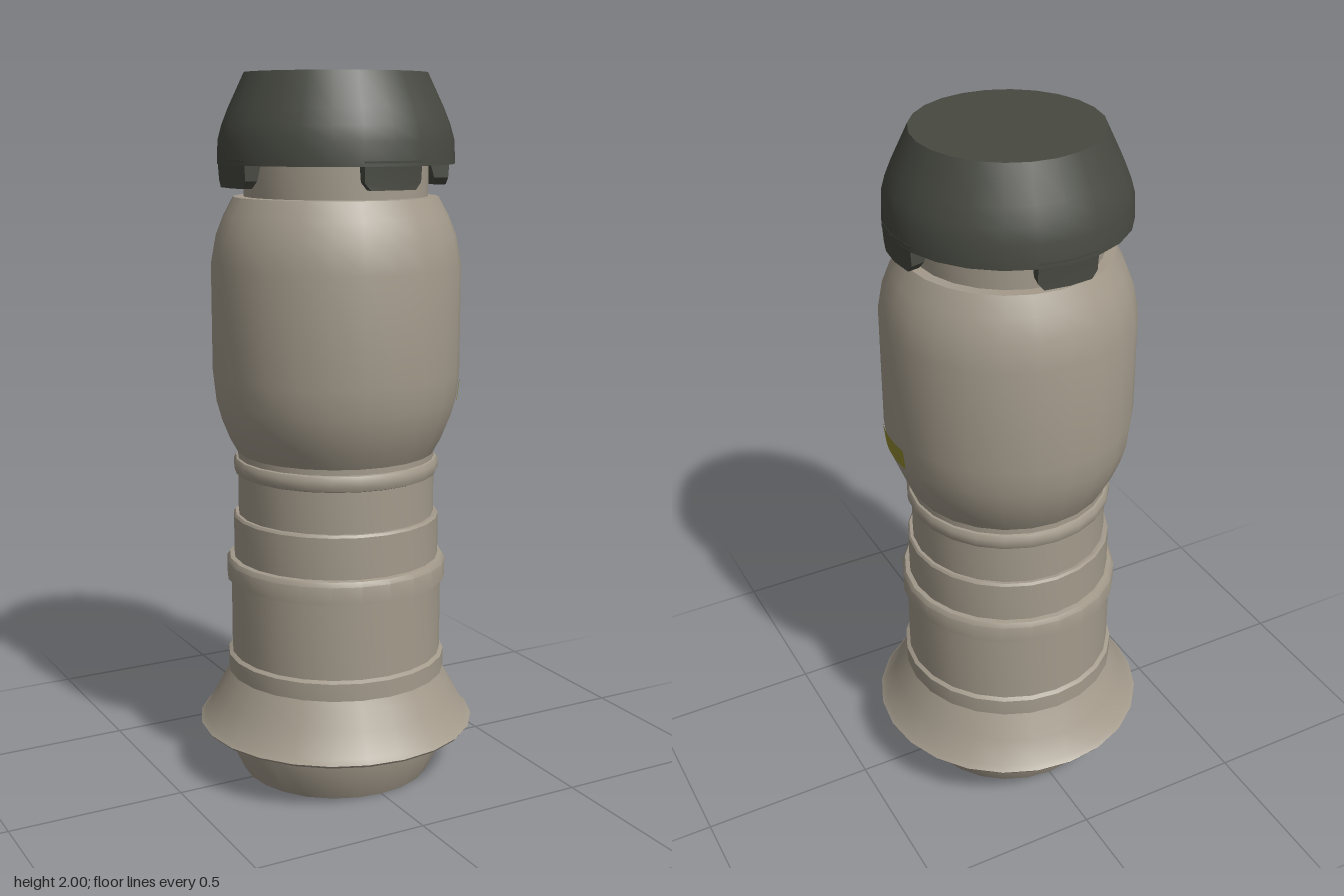
import * as THREE from 'three';
import { toCreasedNormals } from 'three/addons/utils/BufferGeometryUtils.js';

const SIDES = 24;

function material(name, color) {
  const m = new THREE.MeshStandardMaterial({ color });
  m.name = name;
  return m;
}

// Turned part from a list of [radius, height], bottom to top
function turned(name, profile, mat, sides = SIDES, start = 0, sweep = Math.PI * 2) {
  const points = profile.map(([r, y]) => new THREE.Vector2(r, y));
  const geometry = new THREE.LatheGeometry(points, sides, start, sweep);
  const mesh = new THREE.Mesh(toCreasedNormals(geometry, 0.55), mat);
  mesh.name = name;
  return mesh;
}

// Bevelled tab, drawn as angle against height and then bent round the axis
function capTab(mat) {
  const outline = [
    [-0.262, 1.77], [-0.262, 1.715], [-0.21, 1.695], [0, 1.695],
    [0.21, 1.695], [0.262, 1.715], [0.262, 1.77], [0, 1.77],
  ].map(([a, y]) => new THREE.Vector2(a, y));
  const geometry = new THREE.ExtrudeGeometry(new THREE.Shape(outline), { depth: 1, bevelEnabled: false });
  const p = geometry.attributes.position;
  for (let i = 0; i < p.count; i++) {
    const angle = p.getX(i), y = p.getY(i);
    const drop = (1.77 - y) / 0.075;
    const inner = 0.268 + 0.022 * drop;
    const outer = 0.329 - 0.005 * drop;
    const r = THREE.MathUtils.lerp(inner, outer, p.getZ(i));
    p.setXYZ(i, r * Math.sin(angle), y, r * Math.cos(angle));
  }
  return new THREE.Mesh(toCreasedNormals(geometry, 0.55), mat);
}

export function createModel() {
  const model = new THREE.Group();
  model.name = 'canister';
  const shell = material('warm grey', 0xa39a8b);
  const dark = material('dark grey', 0x474941);
  const yellow = material('olive yellow', 0x948b30);

  // Tapered foot and flared skirt
  model.add(turned('foot', [[0, 0], [0.275, 0], [0.342, 0.14], [0.342, 0.145]], shell));
  model.add(turned('skirt', [
    [0.335, 0.138], [0.395, 0.145], [0.4, 0.152], [0.385, 0.165],
    [0.35, 0.23], [0.325, 0.275], [0.31, 0.305], [0.3, 0.31],
  ], shell));

  // Stepped stem with raised bands
  model.add(turned('lowerBand', [[0.3, 0.305], [0.315, 0.305], [0.315, 0.355], [0.304, 0.362]], shell));
  model.add(turned('lowerStem', [[0.304, 0.3], [0.304, 0.6]], shell));
  model.add(turned('middleBand', [
    [0.3, 0.582], [0.316, 0.582], [0.316, 0.632], [0.308, 0.645], [0.29, 0.648],
  ], shell));
  model.add(turned('middleStem', [[0.295, 0.64], [0.295, 0.765], [0.29, 0.772], [0.278, 0.772]], shell));
  model.add(turned('upperStem', [[0.281, 0.765], [0.281, 0.96]], shell));
  model.add(turned('upperBand', [
    [0.278, 0.888], [0.288, 0.892], [0.293, 0.905], [0.293, 0.922], [0.287, 0.934], [0.278, 0.937],
  ], shell));

  // Rounded main body and neck
  model.add(turned('body', [
    [0.27, 0.945], [0.28, 0.95], [0.305, 0.995], [0.327, 1.05], [0.342, 1.105], [0.35, 1.18],
    [0.35, 1.48], [0.335, 1.56], [0.313, 1.615], [0.285, 1.667], [0.25, 1.668],
  ], shell));
  model.add(turned('neck', [[0.256, 1.66], [0.256, 1.77]], shell));

  // Painted stripe on the left side
  const deg = Math.PI / 180;
  model.add(turned('stripe', [[0.3445, 1.1], [0.3515, 1.162]], yellow, 12, 50.5 * deg, 48 * deg));

  // Domed cap with four tabs
  model.add(turned('cap', [
    [0.25, 1.756], [0.329, 1.756], [0.326, 1.82], [0.315, 1.86], [0.297, 1.905], [0.252, 2], [0, 2],
  ], dark));
  for (let i = 0; i < 4; i++) {
    const tab = capTab(dark);
    tab.name = 'capTab' + (i + 1);
    tab.rotation.y = i * Math.PI / 2;
    model.add(tab);
  }
  return model;
}
